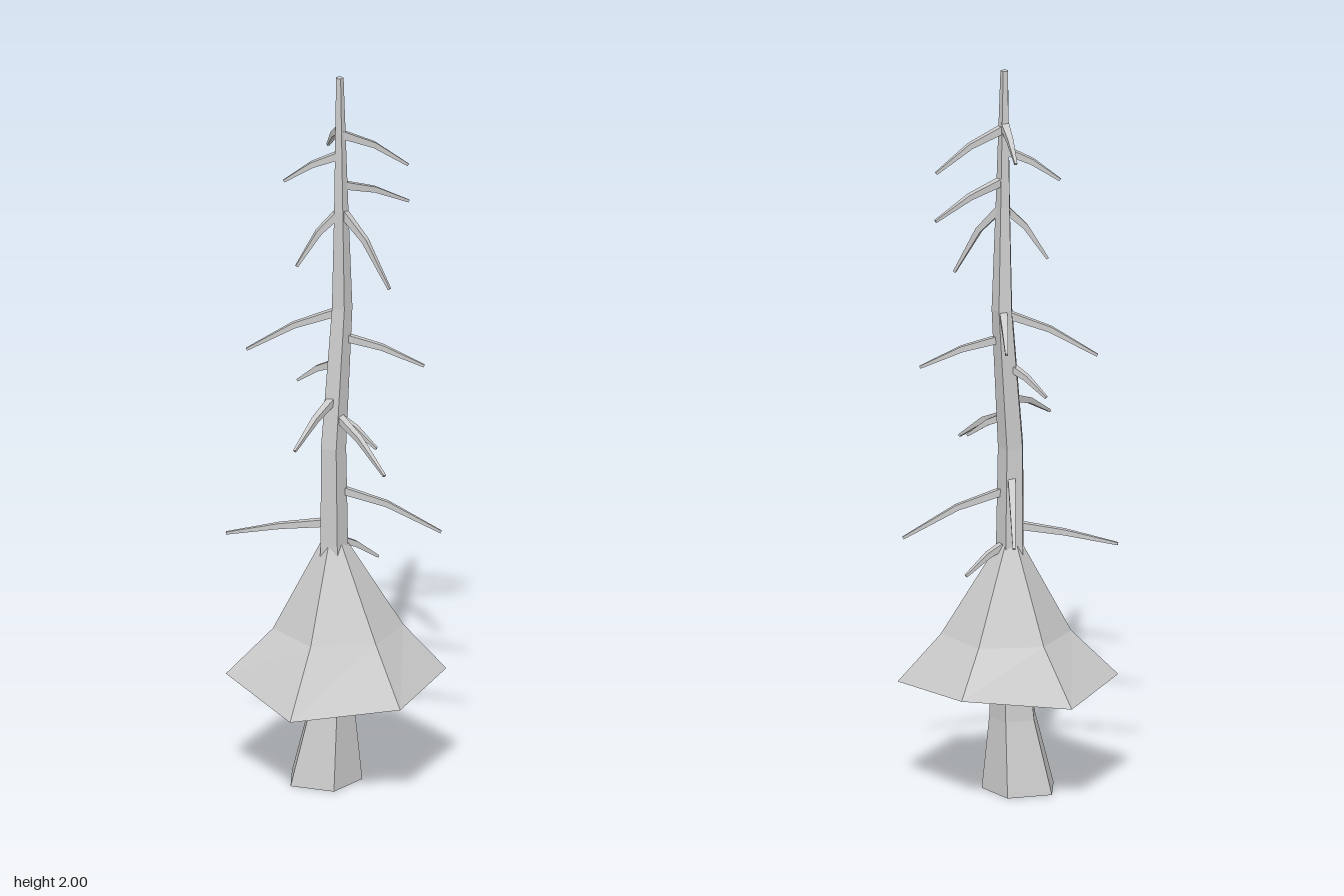
import * as THREE from 'three';

const material = new THREE.MeshStandardMaterial({ color: 0xcccccc, flatShading: true, side: THREE.DoubleSide });
const X = new THREE.Vector3(1, 0, 0), Y = new THREE.Vector3(0, 1, 0), Z = new THREE.Vector3(0, 0, 1);

// Flat-sided skin over a list of rings; each ring is an array of Vector3
function loft(rings, capped) {
  const n = rings[0].length, index = [];
  for (let r = 0; r < rings.length - 1; r++) {
    for (let i = 0; i < n; i++) {
      const a = r * n + i, b = r * n + (i + 1) % n;
      index.push(a, a + n, b, b, a + n, b + n);
    }
  }
  if (capped) {
    const top = (rings.length - 1) * n;
    for (let i = 1; i < n - 1; i++) {
      index.push(0, i, i + 1, top, top + i + 1, top + i);
    }
  }
  const indexed = new THREE.BufferGeometry().setFromPoints(rings.flat());
  indexed.setIndex(index);
  const geometry = indexed.toNonIndexed();
  geometry.computeVertexNormals();
  return geometry;
}

// Regular polygon around a centre, spanned by axes u and v
function ring(center, radius, sides, u, v, turn = 0) {
  return Array.from({ length: sides }, (_, i) => {
    const t = turn + (i / sides) * Math.PI * 2;
    return center.clone().addScaledVector(u, radius * Math.cos(t)).addScaledVector(v, radius * Math.sin(t));
  });
}

// Crooked trunk: centre and radius from the ground up
const trunk = [
  [-0.035, 0, 0, 0.105], [-0.017, 0.2, 0.003, 0.067], [-0.008, 0.4, 0.005, 0.054],
  [-0.008, 0.68, 0.004, 0.04], [-0.01, 0.95, 0.007, 0.037], [0.013, 1.34, -0.018, 0.03],
  [0.012, 1.62, -0.002, 0.021], [0.009, 2, 0, 0.011],
].map(([x, y, z, radius]) => ({ center: new THREE.Vector3(x, y, z), radius }));

// Point on the trunk's axis at a given height
function trunkAxis(y) {
  const i = trunk.findIndex((s) => s.center.y > y);
  const low = trunk[i - 1].center, high = trunk[i].center;
  return low.clone().lerp(high, (y - low.y) / (high.y - low.y));
}

// Square tapering twig that leaves the trunk gently and droops past its bend
function branchGeometry(startY, tip) {
  const start = trunkAxis(startY);
  const bend = start.clone().lerp(tip, 0.5);
  bend.y = startY + (tip.y - startY) * 0.38;
  const path = [start, bend, tip], radii = [0.015, 0.011, 0.005];
  return loft(path.map((c, i) => {
    const d = path[Math.min(i + 1, 2)].clone().sub(path[Math.max(i - 1, 0)]).normalize();
    const u = d.clone().cross(Y).normalize();
    return ring(c, radii[i], 4, u, u.clone().cross(d), Math.PI / 4);
  }), true);
}

export function createModel() {
  const model = new THREE.Group();
  const add = (name, geometry) => {
    const mesh = new THREE.Mesh(geometry, material);
    mesh.name = name;
    model.add(mesh);
  };

  // Five-sided trunk
  add('trunk', loft(trunk.map((s) => ring(s.center, s.radius, 5, X, Z)), true));

  // Six-sided open skirt of foliage with an uneven hem
  const hemHeights = [0.305, 0.285, 0.26, 0.31, 0.29, 0.32];
  const skirtRing = (x, y, r) => ring(new THREE.Vector3(x, y, 0), r, 6, X, Z, -0.126);
  const hem = skirtRing(0, 0, 0.296);
  hem.forEach((p, i) => { p.y = hemHeights[i]; });
  add('foliageSkirt', loft([hem, skirtRing(0.005, 0.435, 0.175), skirtRing(-0.006, 0.69, 0.028)], false));

  // Bare branches, bottom to top: height on the trunk, then the tip
  const branches = [
    [0.69, 0.11, 0.61, -0.07], [0.735, -0.295, 0.69, -0.02], [0.835, 0.28, 0.7, -0.02],
    [0.87, -0.025, 0.74, -0.25], [1.04, 0.11, 0.965, 0.06], [1.045, 0.135, 0.93, 0.175],
    [1.09, -0.105, 1, 0.18], [1.185, -0.105, 1.11, -0.07], [1.26, 0.235, 1.175, -0.015],
    [1.33, -0.24, 1.215, -0.02], [1.335, -0.003, 1.26, -0.18], [1.62, -0.105, 1.47, 0.025],
    [1.625, 0.145, 1.42, 0.06], [1.695, 0.19, 1.61, -0.11], [1.78, -0.14, 1.7, -0.01],
    [1.84, 0.19, 1.73, -0.065], [1.85, -0.025, 1.77, -0.105],
  ];
  branches.forEach(([startY, ...tip], i) => {
    add(`branch${i + 1}`, branchGeometry(startY, new THREE.Vector3(...tip)));
  });

  return model;
}
